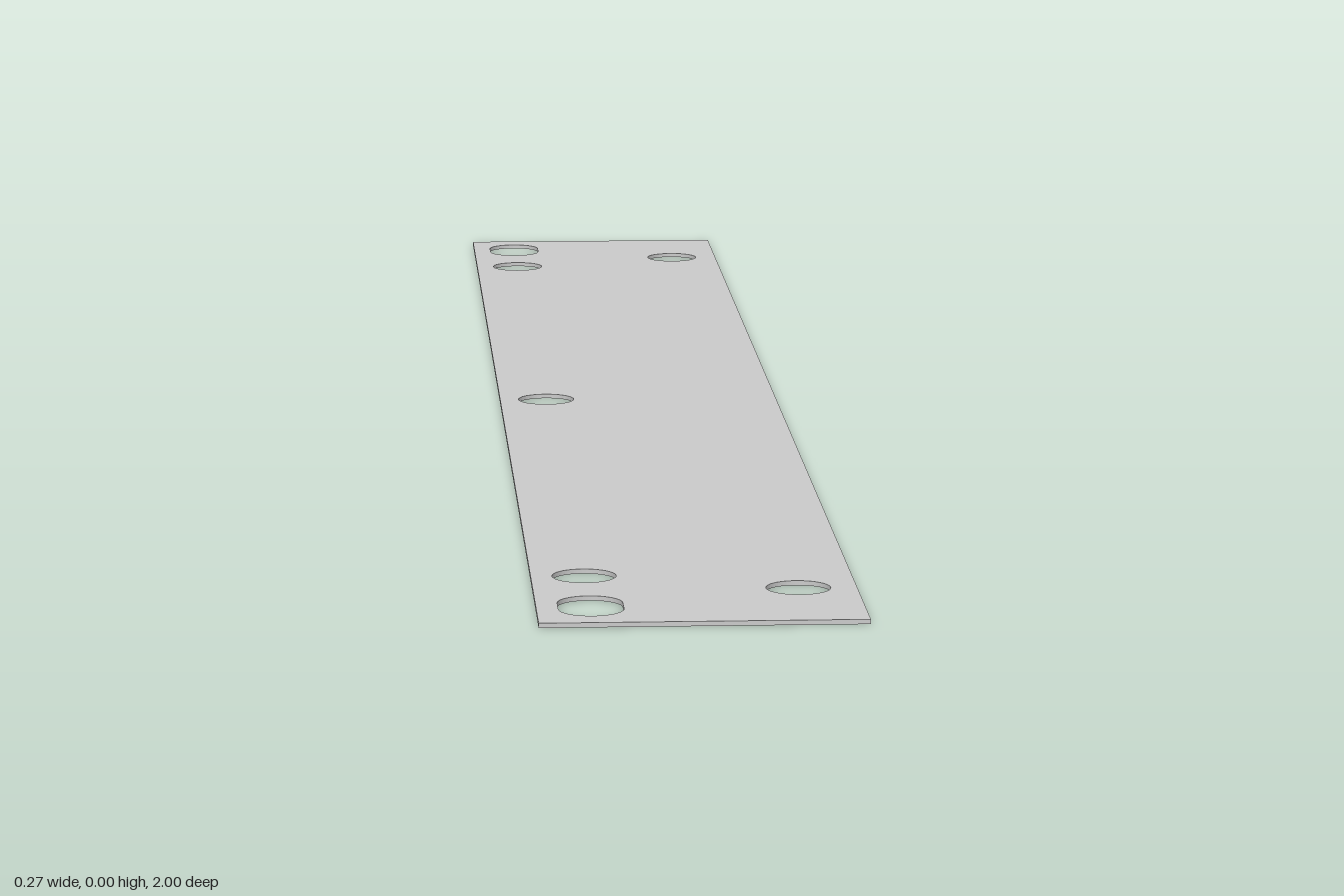
import * as THREE from 'three';

const HALF_WIDTH = 0.135, HALF_LENGTH = 1, THICKNESS = 0.004;
const HOLE_RADIUS = 0.027;

// Round hole, or a slot lengthened along the plate when stretch > 0
function hole(x, y, stretch = 0) {
  const path = new THREE.Path();
  path.absarc(x, y + stretch, HOLE_RADIUS, 0, Math.PI, false);
  path.absarc(x, y - stretch, HOLE_RADIUS, Math.PI, Math.PI * 2, false);
  path.closePath();
  return path;
}

export function createModel() {
  const group = new THREE.Group();
  group.name = 'mountingPlate';

  // Plate outline
  const outline = new THREE.Shape();
  outline.moveTo(-HALF_WIDTH, -HALF_LENGTH);
  outline.lineTo(HALF_WIDTH, -HALF_LENGTH);
  outline.lineTo(HALF_WIDTH, HALF_LENGTH);
  outline.lineTo(-HALF_WIDTH, HALF_LENGTH);
  outline.closePath();

  // Centre hole, then the mirrored hole pattern at each end
  outline.holes.push(hole(-0.09, 0));
  for (const end of [-1, 1]) {
    outline.holes.push(
      hole(-0.09, end * 0.82),
      hole(-0.09, end * 0.937, 0.011),
      hole(0.086, end * 0.876),
    );
  }

  // Thin sheet laid flat on the ground
  const geometry = new THREE.ExtrudeGeometry(outline, {
    depth: THICKNESS, bevelEnabled: false, curveSegments: 16,
  });
  geometry.rotateX(-Math.PI / 2);

  const plate = new THREE.Mesh(geometry, new THREE.MeshStandardMaterial({ color: 0xcccccc }));
  plate.name = 'plate';
  group.add(plate);
  return group;
}
